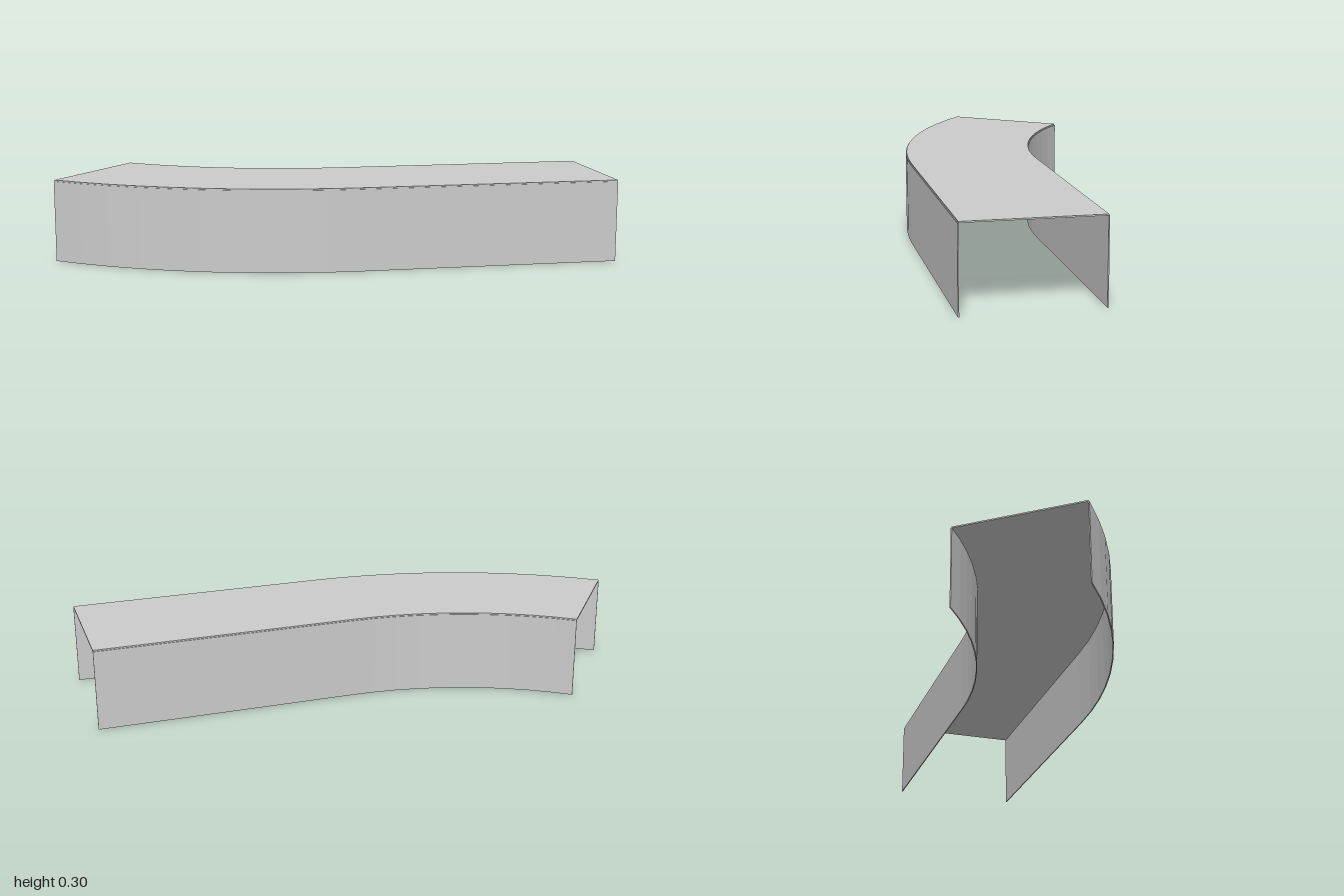
import * as THREE from 'three';

const BEND_X = 0.058;       // where the straight run meets the bend
const OUTER = 1.73;         // outer bend radius
const WIDTH = 0.474;
const FRONT_Z = 0.369;
const ANGLE = THREE.MathUtils.degToRad(37.7);
const STEPS = 10;
const WALL_TOP = 0.293;
const HEIGHT = 0.298;

// Plan line at a given inset from the outer face: straight run, then bend
function planLine(inset) {
  const r = OUTER - inset;
  const pts = [new THREE.Vector2(1, -(FRONT_Z - inset))];
  for (let i = 0; i <= STEPS; i++) {
    const a = (ANGLE * i) / STEPS;
    pts.push(new THREE.Vector2(BEND_X - r * Math.sin(a), OUTER - FRONT_Z - r * Math.cos(a)));
  }
  return pts;
}

// Upright strip between two insets, from y0 to y1
function strip(name, insetA, insetB, y0, y1, material) {
  const shape = new THREE.Shape([...planLine(insetA), ...planLine(insetB).reverse()]);
  const geometry = new THREE.ExtrudeGeometry(shape, { depth: y1 - y0, bevelEnabled: false });
  geometry.rotateX(-Math.PI / 2).translate(0, y0, 0);
  const mesh = new THREE.Mesh(geometry, material);
  mesh.name = name;
  return mesh;
}

export function createModel() {
  const group = new THREE.Group();
  group.name = 'curvedChannel';
  const material = new THREE.MeshStandardMaterial({ color: 0xcccccc, flatShading: true });
  group.add(
    strip('outerWall', 0, 0.004, 0, WALL_TOP, material),
    strip('innerWall', WIDTH - 0.004, WIDTH, 0, WALL_TOP, material),
    strip('topPanel', 0.003, WIDTH - 0.003, WALL_TOP, HEIGHT, material),
  );
  return group;
}
